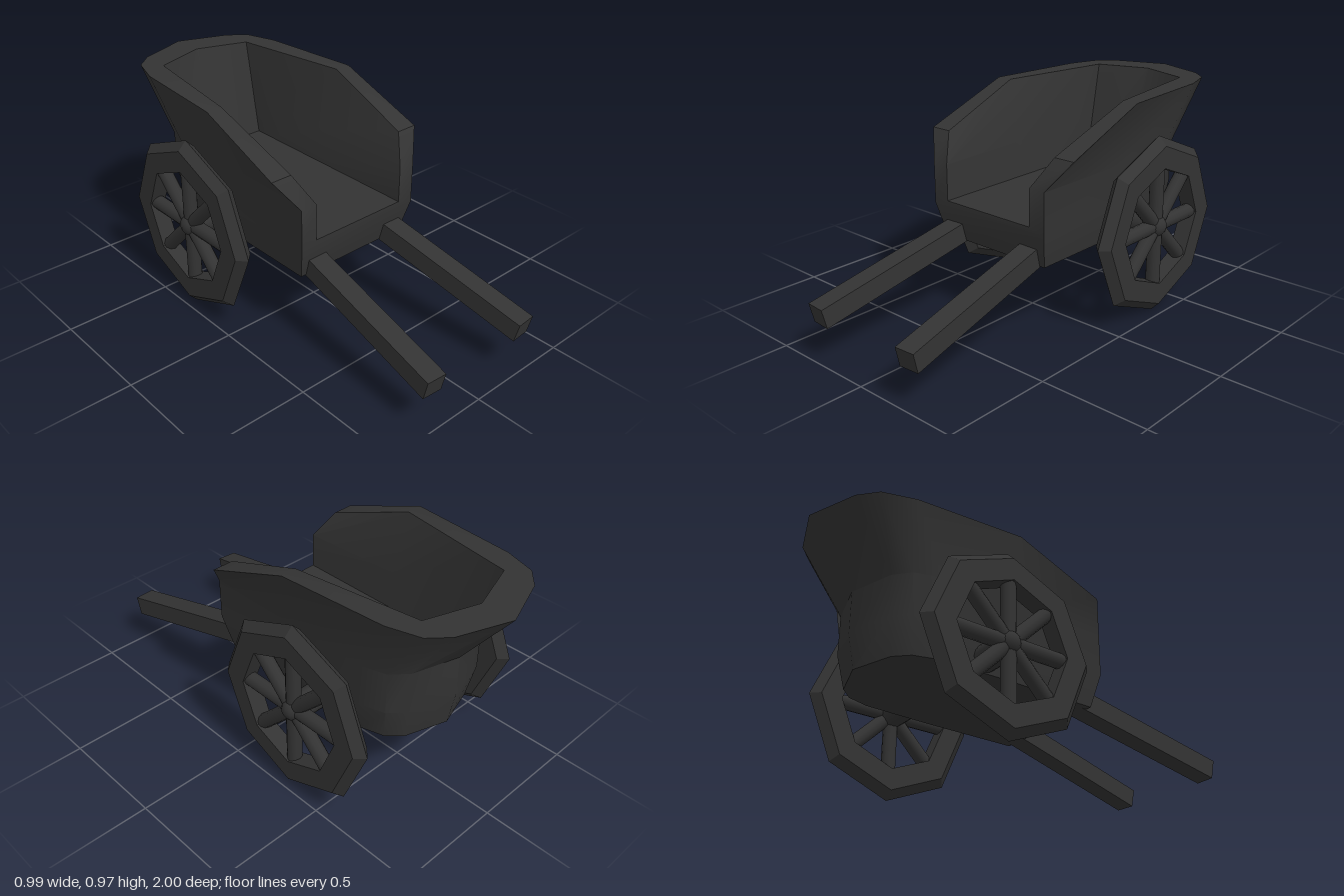
import * as THREE from 'three';
import { toCreasedNormals } from 'three/addons/utils/BufferGeometryUtils.js';

const charcoal = new THREE.MeshStandardMaterial({ color: 0x333333 });
charcoal.name = 'charcoal';

function mesh(name, geometry, parent) {
  const m = new THREE.Mesh(geometry, charcoal);
  m.name = name;
  parent.add(m);
  return m;
}

// Tub: wall sections swept from the left front, round the back, to the right front.
// Each section runs: base, low, shoulder, outer rim, inner rim, inner shoulder, floor.
function tubGeometry() {
  const half = [
    [[.29, .345, .25], [.32, .5, .29], [.32, .69, .29], [.405, .815, .21], [.305, .815, .21], [.24, .69, .29], [.24, .525, .29]],
    [[.29, .345, -.21], [.32, .5, -.21], [.32, .69, -.21], [.4, .975, -.21], [.325, .975, -.21], [.265, .69, -.21], [.24, .525, -.21]],
    [[.28, .345, -.53], [.315, .5, -.55], [.315, .69, -.55], [.36, .975, -.7], [.255, .975, -.67], [.245, .69, -.62], [.24, .525, -.6]],
    [[.25, .345, -.63], [.28, .5, -.66], [.28, .69, -.66], [.315, .975, -.845], [.24, .975, -.77], [.24, .69, -.72], [.24, .525, -.69]],
    [[.19, .345, -.69], [.21, .5, -.72], [.21, .69, -.72], [.235, .975, -.915], [.16, .975, -.797], [.16, .69, -.73], [.16, .525, -.69]],
    [[0, .345, -.75], [0, .5, -.78], [0, .69, -.78], [0, .975, -1], [0, .975, -.85], [0, .69, -.75], [0, .525, -.69]],
  ].map(s => s.map(p => new THREE.Vector3(...p)));
  const flip = p => new THREE.Vector3(-p.x, p.y, p.z);
  const mirrored = half.map(s => s.map(flip));
  const columns = [...half, ...mirrored.slice(0, -1).reverse()];
  const pos = [];
  const tri = (a, b, c) => {
    const n = b.clone().sub(a).cross(c.clone().sub(a));
    if (n.length() > 1e-7) pos.push(...a, ...b, ...c);
  };
  const quad = (a, b, c, d) => { tri(a, b, c); tri(a, c, d); };

  // Walls and rim
  for (let i = 0; i < columns.length - 1; i++) {
    const s = columns[i], t = columns[i + 1];
    for (let j = 0; j < 6; j++) quad(s[j], t[j], t[j + 1], s[j + 1]);
  }
  // Underside and floor
  for (let i = 0; i < 5; i++) {
    const l = half[i], r = mirrored[i], l2 = half[i + 1], r2 = mirrored[i + 1];
    quad(l[0], r[0], r2[0], l2[0]);
    quad(l[6], l2[6], r2[6], r[6]);
  }
  // Front ends of the walls and the sill between them
  const l = half[0], r = mirrored[0];
  quad(l[3], l[4], l[5], l[2]);
  quad(l[2], l[5], l[6], l[1]);
  quad(r[2], r[5], r[4], r[3]);
  quad(r[1], r[6], r[5], r[2]);
  quad(l[6], r[6], r[1], l[1]);
  quad(l[1], r[1], r[0], l[0]);

  const g = new THREE.BufferGeometry();
  g.setAttribute('position', new THREE.Float32BufferAttribute(pos, 3));
  return toCreasedNormals(g, 0.6);
}

// Eight-sided rim with a ridged tread, spokes and a round hub, turning about x
function buildWheel(name) {
  const wheel = new THREE.Group();
  wheel.name = name;
  const profile = [[.27, .04], [.27, -.04], [.37, -.04], [.41, 0], [.37, .04], [.27, .04]]
    .map(p => new THREE.Vector2(...p));
  const rim = toCreasedNormals(new THREE.LatheGeometry(profile, 8), 0.3);
  mesh('wheelRim', rim, wheel).rotation.z = Math.PI / 2;
  const spoke = new THREE.CylinderGeometry(.033, .033, .28, 10);
  spoke.translate(0, .14, 0);
  for (let i = 0; i < 8; i++) mesh('spoke', spoke, wheel).rotation.x = i * Math.PI / 4;
  mesh('hub', new THREE.SphereGeometry(.052, 12, 8), wheel);
  return wheel;
}

export function createModel() {
  const cart = new THREE.Group();
  cart.name = 'cart';
  mesh('tub', tubGeometry(), cart);

  const axle = mesh('axle', new THREE.CylinderGeometry(.058, .058, .86, 16), cart);
  axle.rotation.z = Math.PI / 2;
  axle.position.set(0, .407, -.315);

  for (const side of [1, -1]) {
    const wheel = buildWheel(side > 0 ? 'leftWheel' : 'rightWheel');
    wheel.position.set(side * .445, .413, -.315);
    cart.add(wheel);

    // Pulling shaft, splayed outwards and sloping down to the front
    const back = new THREE.Vector3(side * .213, .398, .2);
    const tip = new THREE.Vector3(side * .268, .213, .987);
    const shaft = mesh(side > 0 ? 'leftShaft' : 'rightShaft',
      new THREE.BoxGeometry(.094, .09, back.distanceTo(tip)), cart);
    shaft.position.copy(back).lerp(tip, .5);
    shaft.lookAt(tip);
  }
  return cart;
}
